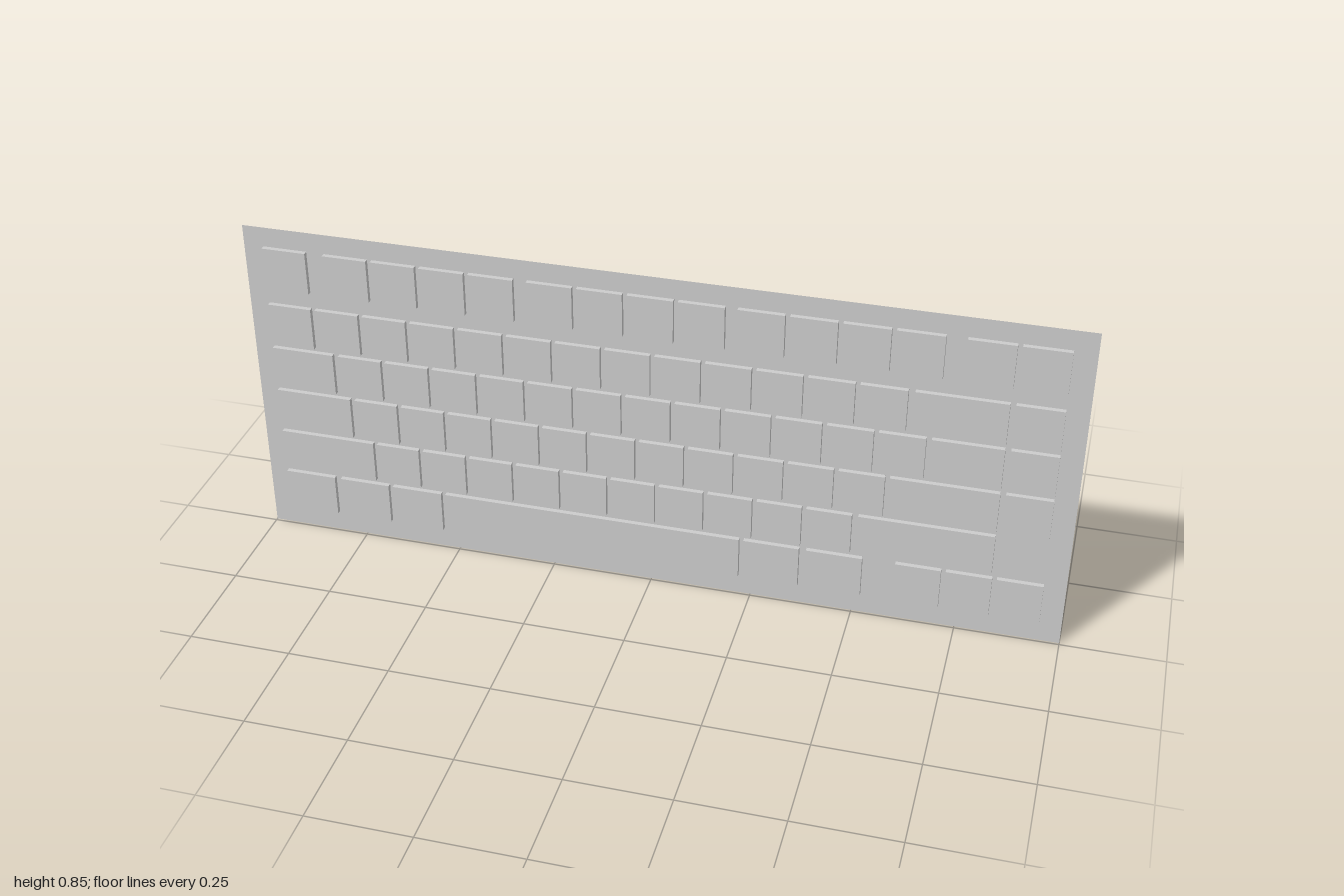
import * as THREE from 'three';

const PITCH = 0.12, KEY = 0.109, DEPTH = 0.012;
const LEFT = -0.951, WIDE_END = 0.825, LAST = 0.838;

// A run of n square keys starting at x, as [left, right] spans
const run = (x, n) => Array.from({ length: n }, (_, i) => [x + i * PITCH, x + i * PITCH + KEY]);

// Rows from bottom to top: y of the lower edge and the key spans
const ROWS = [
  { name: 'bottomRow', y: 0.055, keys: [
    [LEFT, -0.822], [-0.806, -0.678], [-0.667, -0.539], [-0.528, 0.22], [0.231, 0.367], [0.384, 0.52],
    ...run(0.599, 3)] },
  { name: 'shiftRow', y: 0.175, keys: [[LEFT, -0.71], ...run(-0.7, 10), [0.504, WIDE_END]] },
  { name: 'homeRow', y: 0.295, keys: [[LEFT, -0.761], ...run(-0.749, 11), [0.571, WIDE_END], ...run(LAST, 1)] },
  { name: 'upperRow', y: 0.415, keys: [[LEFT, -0.796], ...run(-0.782, 12), [0.659, WIDE_END], ...run(LAST, 1)] },
  { name: 'numberRow', y: 0.535, keys: [...run(LEFT, 13), [0.613, WIDE_END], ...run(LAST, 1)] },
  { name: 'functionRow', y: 0.686, keys: [
    ...run(LEFT, 1), ...run(-0.798, 4), ...run(-0.296, 4), ...run(0.202, 4), ...run(0.718, 2)] },
];

export function createModel() {
  const model = new THREE.Group();
  model.name = 'keyboard';
  const keyMaterial = new THREE.MeshStandardMaterial({ color: 0xcccccc });
  const plateMaterial = new THREE.MeshStandardMaterial({ color: 0xcccccc, side: THREE.DoubleSide });

  // Thin back plate
  const plate = new THREE.Mesh(new THREE.PlaneGeometry(2, 0.845), plateMaterial);
  plate.name = 'backPlate';
  plate.position.set(0, 0.4225, -DEPTH / 2);
  model.add(plate);

  // Flat block keys standing on the plate
  for (const { name, y, keys } of ROWS) {
    const row = new THREE.Group();
    row.name = name;
    row.position.y = y + KEY / 2;
    for (const [x0, x1] of keys) {
      const key = new THREE.Mesh(new THREE.BoxGeometry(x1 - x0, KEY, DEPTH), keyMaterial);
      key.name = 'key';
      key.position.x = (x0 + x1) / 2;
      row.add(key);
    }
    model.add(row);
  }
  return model;
}
